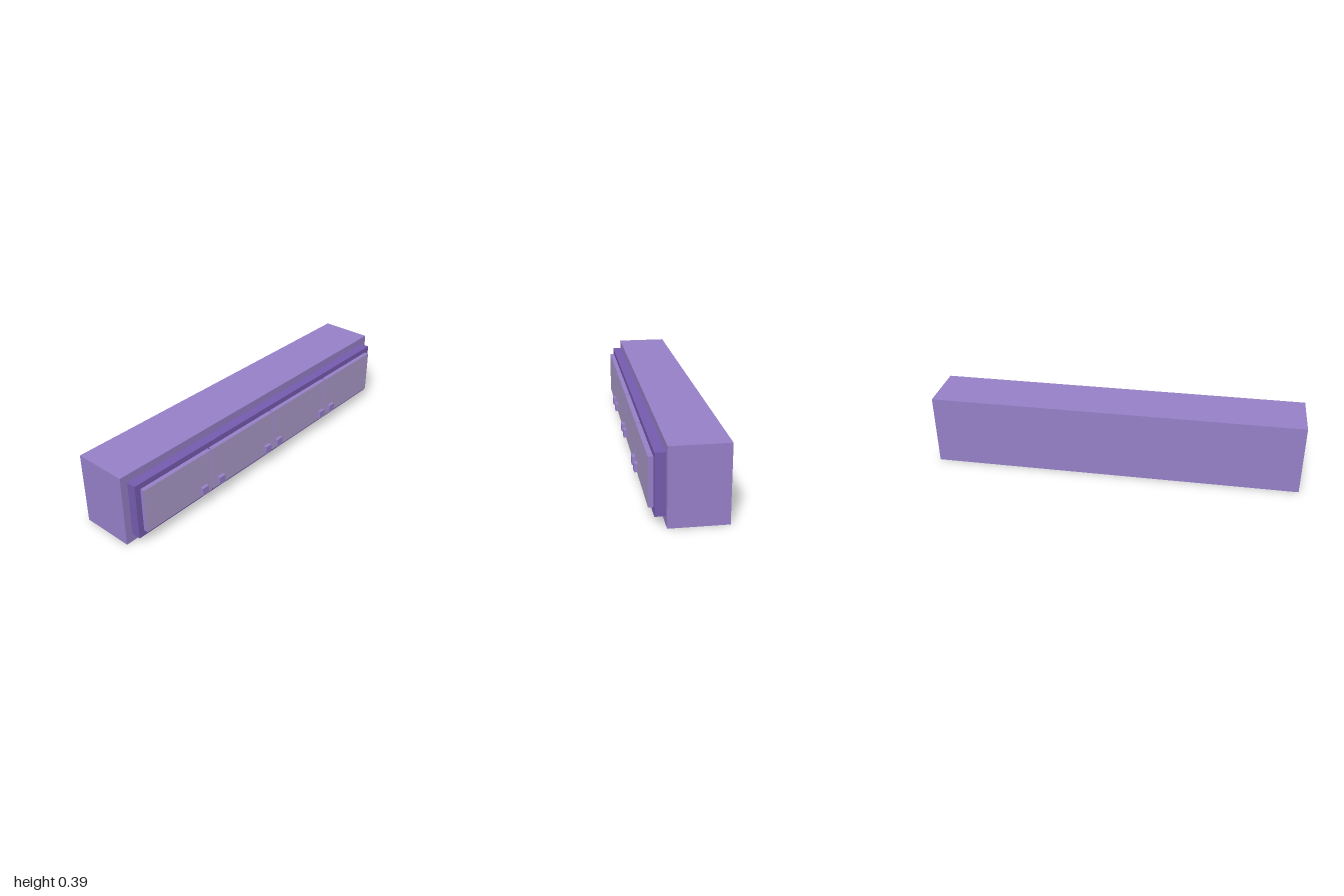
import * as THREE from 'three';

export function createModel() {
  const group = new THREE.Group();
  const mat = (name, color) => {
    const m = new THREE.MeshStandardMaterial({ color });
    m.name = name;
    return m;
  };
  const lilac = mat('lilac', 0x9680c8);
  const violet = mat('deep violet', 0x765caf);
  const mauve = mat('pale mauve', 0xab9bcb);

  // Box given by its limits on each axis
  const box = (name, material, [x0, x1], [y0, y1], [z0, z1]) => {
    const mesh = new THREE.Mesh(new THREE.BoxGeometry(x1 - x0, y1 - y0, z1 - z0), material);
    mesh.position.set((x0 + x1) / 2, (y0 + y1) / 2, (z0 + z1) / 2);
    mesh.name = name;
    group.add(mesh);
  };

  // Cabinet carcass and the raised plinth carrying the doors
  box('cabinetBody', lilac, [-1, 1], [0, 0.389], [-0.19, 0.097]);
  box('doorFrame', violet, [-0.961, 0.961], [0.042, 0.347], [0.097, 0.148]);

  // Four doors: lilac edges, pale front face
  const doorFaces = [lilac, lilac, lilac, lilac, mauve, lilac];
  const doors = [[-0.929, -0.484], [-0.473, -0.004], [0.004, 0.473], [0.484, 0.929]];
  doors.forEach((x, i) => box(`door${i + 1}`, doorFaces, x, [0.074, 0.317], [0.148, 0.172]));

  // Square knobs in pairs at the door seams
  [-0.545, -0.421, -0.049, 0.047, 0.443, 0.539].forEach((x, i) =>
    box(`knob${i + 1}`, lilac, [x - 0.021, x + 0.021], [0.089, 0.132], [0.172, 0.19]));

  return group;
}
